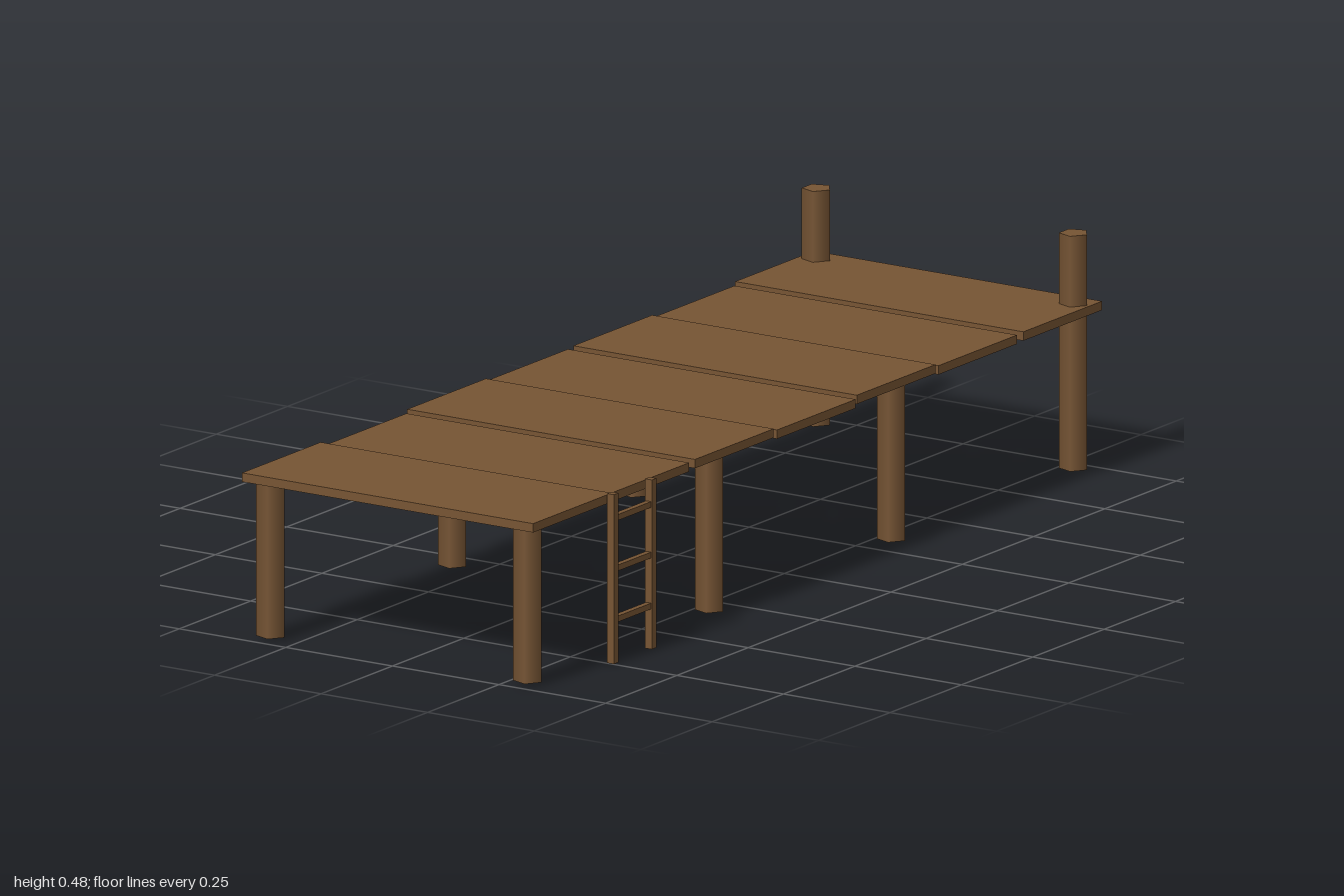
import * as THREE from 'three';

export function createModel() {
  const group = new THREE.Group();
  const wood = new THREE.MeshStandardMaterial({ color: 0x765433 });
  wood.name = 'brown wood';

  const add = (name, geometry, x, y, z, parent = group) => {
    const mesh = new THREE.Mesh(geometry, wood);
    mesh.name = name;
    mesh.position.set(x, y, z);
    parent.add(mesh);
    return mesh;
  };

  // Deck planks, back to front: [left edge, right edge, centre height]
  const planks = [
    [-0.35, 0.326, 0.328], [-0.344, 0.319, 0.323], [-0.345, 0.32, 0.328],
    [-0.35, 0.325, 0.323], [-0.35, 0.325, 0.328], [-0.344, 0.319, 0.323],
    [-0.353, 0.33, 0.328],
  ];
  planks.forEach(([x0, x1, y], i) => {
    const z = -0.862 + i * 1.724 / 6;
    add('deckPlank', new THREE.BoxGeometry(x1 - x0, 0.018, 0.276), (x0 + x1) / 2, y, z);
  });

  // Five-sided posts; the back pair rises above the deck
  for (const z of [-0.956, -0.319, 0.319, 0.956]) {
    const top = z < -0.9 ? 0.48 : 0.32;
    for (const x of [-0.313, 0.29]) {
      const post = new THREE.CylinderGeometry(0.03, 0.03, top - 0.005, 5, 1, false, Math.PI / 2);
      add(z < -0.9 ? 'mooringPost' : 'supportPost', post, x, (top + 0.005) / 2, z);
    }
  }

  // Ladder on the left side
  const ladder = new THREE.Group();
  ladder.name = 'ladder';
  group.add(ladder);
  for (const z of [0.607, 0.74]) {
    add('ladderRail', new THREE.BoxGeometry(0.016, 0.342, 0.016), 0.343, 0.171, z, ladder);
  }
  for (const y of [0.087, 0.19, 0.292]) {
    add('ladderRung', new THREE.BoxGeometry(0.012, 0.012, 0.133), 0.343, y, 0.6735, ladder);
  }
  return group;
}
